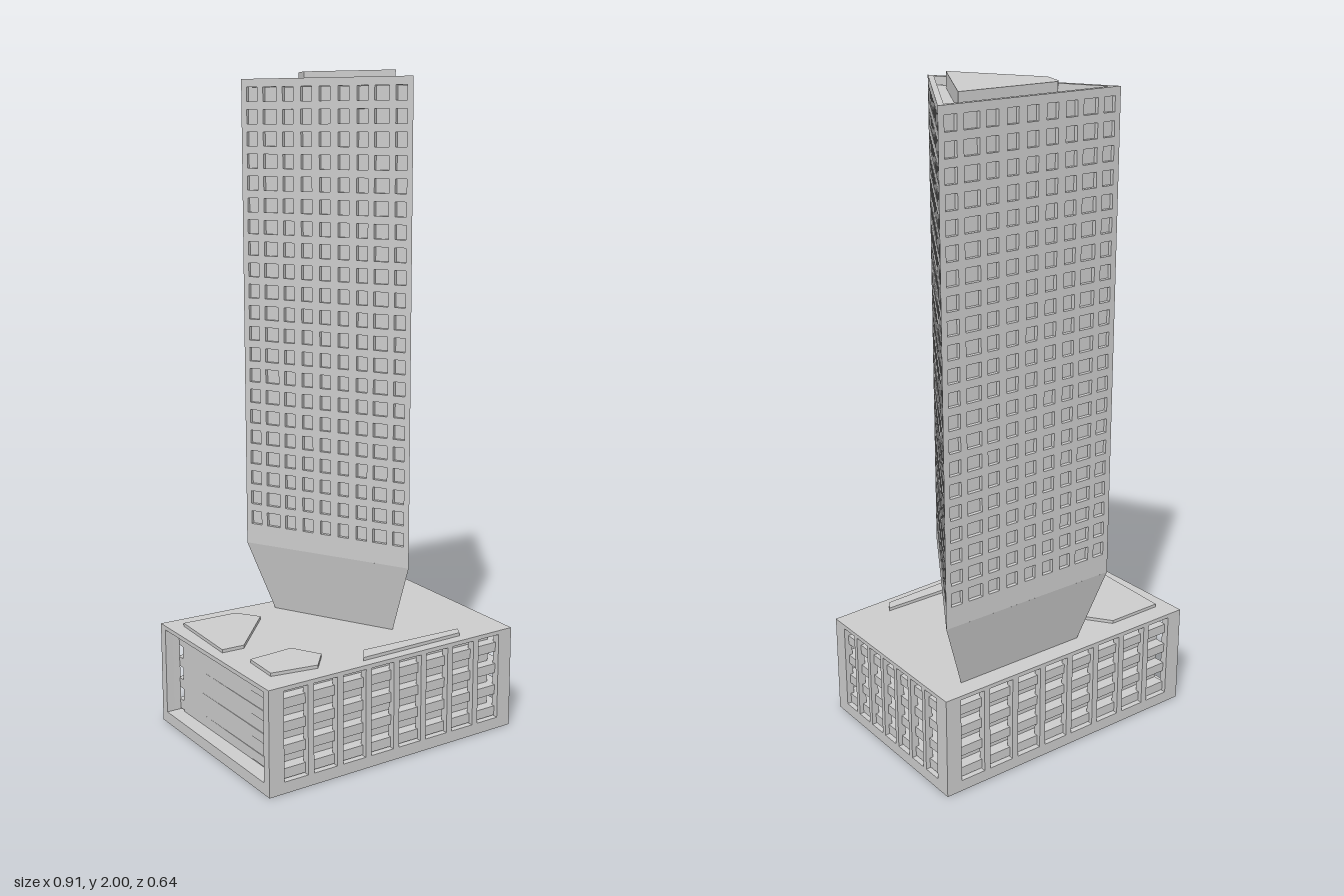
import * as THREE from 'three';

const mat = new THREE.MeshStandardMaterial({ color: 0xcccccc, flatShading: true });

// Outlines as [x, z], counterclockwise seen from above
const BASE = [[-0.425, 0.32], [0.455, 0.275], [0.445, -0.325], [-0.455, -0.325]];
const TOWER = [[-0.155, -0.31], [0.13, 0.185], [0.43, -0.31]];
const CENTRE = [0.135, -0.143];
const ROOF = 0.32, WAIST = 0.54, TOP = 1.98;

const scaled = (pts, s) => pts.map(([x, z]) => [
  CENTRE[0] + (x - CENTRE[0]) * s, CENTRE[1] + (z - CENTRE[1]) * s]);

function add(parent, name, geometry) {
  const mesh = new THREE.Mesh(geometry, mat);
  mesh.name = name;
  parent.add(mesh);
  return mesh;
}

// Upright prism over a ground outline
function prism(pts, y0, y1) {
  const shape = new THREE.Shape(pts.map(([x, z]) => new THREE.Vector2(x, -z)));
  const g = new THREE.ExtrudeGeometry(shape, { depth: y1 - y0, bevelEnabled: false });
  return g.rotateX(-Math.PI / 2).translate(0, y0, 0);
}

// Wall panel between a lower and an upper edge, pierced by holes [s0, s1, t0, t1] in 0..1,
// with its inner face mitred to meet the neighbouring panels
function wall(a, b, c, d, depth, miter, holes) {
  const u = b.clone().sub(a).normalize();
  const n = u.clone().cross(d.clone().sub(a)).normalize();
  const v = n.clone().cross(u);
  const flat = p => {
    const q = p.clone().sub(a);
    return new THREE.Vector2(q.dot(u), q.dot(v));
  };
  const at = (s, t) => flat(a.clone().lerp(b, s).lerp(d.clone().lerp(c, s), t));
  const corners = [a, b, c, d].map(flat);
  const shape = new THREE.Shape(corners);
  for (const [s0, s1, t0, t1] of holes) {
    shape.holes.push(new THREE.Path([at(s0, t0), at(s0, t1), at(s1, t1), at(s1, t0)]));
  }
  const g = new THREE.ExtrudeGeometry(shape, { depth, bevelEnabled: false });
  const p = g.attributes.position;
  for (let i = 0; i < p.count; i++) {
    if (p.getZ(i) > depth / 2) continue;
    const k = corners.findIndex(q => Math.hypot(q.x - p.getX(i), q.y - p.getY(i)) < 1e-5);
    if (k >= 0) p.setX(i, p.getX(i) + (k === 0 || k === 3 ? 1 : -1) * depth * miter);
  }
  g.computeVertexNormals();
  const origin = a.clone().addScaledVector(n, -depth);
  return g.applyMatrix4(new THREE.Matrix4().makeBasis(u, v, n).setPosition(origin));
}

// One wall per side, from a lower outline to an upper one
function ring(parent, name, low, y0, high, y1, depth, miter, holesFor) {
  const point = ([x, z], y) => new THREE.Vector3(x, y, z);
  low.forEach((p, i) => {
    const j = (i + 1) % low.length;
    add(parent, name, wall(point(p, y0), point(low[j], y0), point(high[j], y1),
      point(high[i], y1), depth, miter, holesFor(i)));
  });
}

// Window grid: nine columns, the second and eighth wider
function windows(y0, y1, rows, firstTop, pitch, height) {
  const holes = [];
  const H = y1 - y0;
  for (let r = 0; r < rows; r++) {
    const top = firstTop - r * pitch;
    for (let c = 0; c < 9; c++) {
      const mid = 0.5 + (c - 4) * 0.109;
      const half = c === 1 || c === 7 ? 0.041 : 0.032;
      holes.push([mid - half, mid + half, (top - height - y0) / H, (top - y0) / H]);
    }
  }
  return holes;
}

function buildPodium() {
  const podium = new THREE.Group();
  podium.name = 'podium';
  add(podium, 'podiumFloor', prism(BASE, 0, 0.034));
  add(podium, 'podiumRoof', prism(BASE, 0.308, ROOF));
  add(podium, 'podiumCore',
    prism([[-0.375, 0.265], [0.4, 0.23], [0.395, -0.275], [-0.405, -0.275]], 0.03, 0.31));

  // Spandrel bands set back behind the pillars
  const slab = [[-0.376, 0.303], [0.441, 0.261], [0.431, -0.311], [-0.406, -0.311]];
  for (let i = 0; i < 4; i++) {
    add(podium, 'floorBand', prism(slab, 0.038 + i * 0.07, 0.068 + i * 0.07));
  }

  // Pillared facades; the west side has one large opening
  const bays = [8, 7, 8, 1];
  ring(podium, 'podiumFacade', BASE, 0, BASE, ROOF, 0.025, 1, side => {
    const n = bays[side], m = side === 1 ? 0.07 : 0.045;
    const pitch = (1 - 2 * m) / n;
    const gap = n === 1 ? 0 : pitch * 0.1;
    return Array.from({ length: n }, (_, i) =>
      [m + i * pitch + gap, m + (i + 1) * pitch - gap, 0.11, 0.96]);
  });

  // Raised roof pads
  [
    [[-0.405, 0], [-0.333, 0], [-0.172, -0.195], [-0.225, -0.265], [-0.405, -0.265]],
    [[-0.37, 0.233], [-0.225, 0.25], [-0.172, 0.18], [-0.225, 0.092], [-0.37, 0.11]],
    [[-0.083, 0.27], [0.275, 0.25], [0.292, 0.218], [-0.05, 0.218]],
  ].forEach(pts => add(podium, 'roofPad', prism(pts, ROOF - 0.005, 0.33)));
  return podium;
}

function buildTower() {
  const tower = new THREE.Group();
  tower.name = 'tower';
  const pitch = (TOP - WAIST) / 22;
  const foot = scaled(TOWER, 0.74);
  const INSET = 0.93;

  // Shaft and tapered foot, as pierced skins around solid cores
  const shaftHoles = windows(WAIST, TOP, 22, TOP - 0.024, pitch, 0.042);
  ring(tower, 'shaftFacade', TOWER, WAIST, TOWER, TOP, 0.016, 1.73, () => shaftHoles);
  const footHoles = windows(ROOF, WAIST, 3, WAIST - 0.018, pitch, 0.042);
  ring(tower, 'footFacade', foot, ROOF, TOWER, WAIST, 0.016, 1.6, () => footHoles);

  add(tower, 'shaftCore', prism(scaled(TOWER, INSET), WAIST, TOP - 0.025));
  const core = prism(scaled(TOWER, INSET), ROOF - 0.005, WAIST);
  const p = core.attributes.position;
  for (let i = 0; i < p.count; i++) {
    if (p.getY(i) > ROOF + 0.1) continue;
    p.setX(i, CENTRE[0] + (p.getX(i) - CENTRE[0]) * 0.73);
    p.setZ(i, CENTRE[1] + (p.getZ(i) - CENTRE[1]) * 0.73);
  }
  core.computeVertexNormals();
  add(tower, 'footCore', core);

  // Plant room on the roof
  add(tower, 'plantRoom', prism(
    [[-0.02, -0.168], [0.133, 0.09], [0.335, -0.26], [0.018, -0.26], [0.004, -0.243]],
    TOP - 0.03, 2));
  return tower;
}

export function createModel() {
  const model = new THREE.Group();
  model.name = 'towerOnPodium';
  model.add(buildPodium(), buildTower());
  return model;
}
